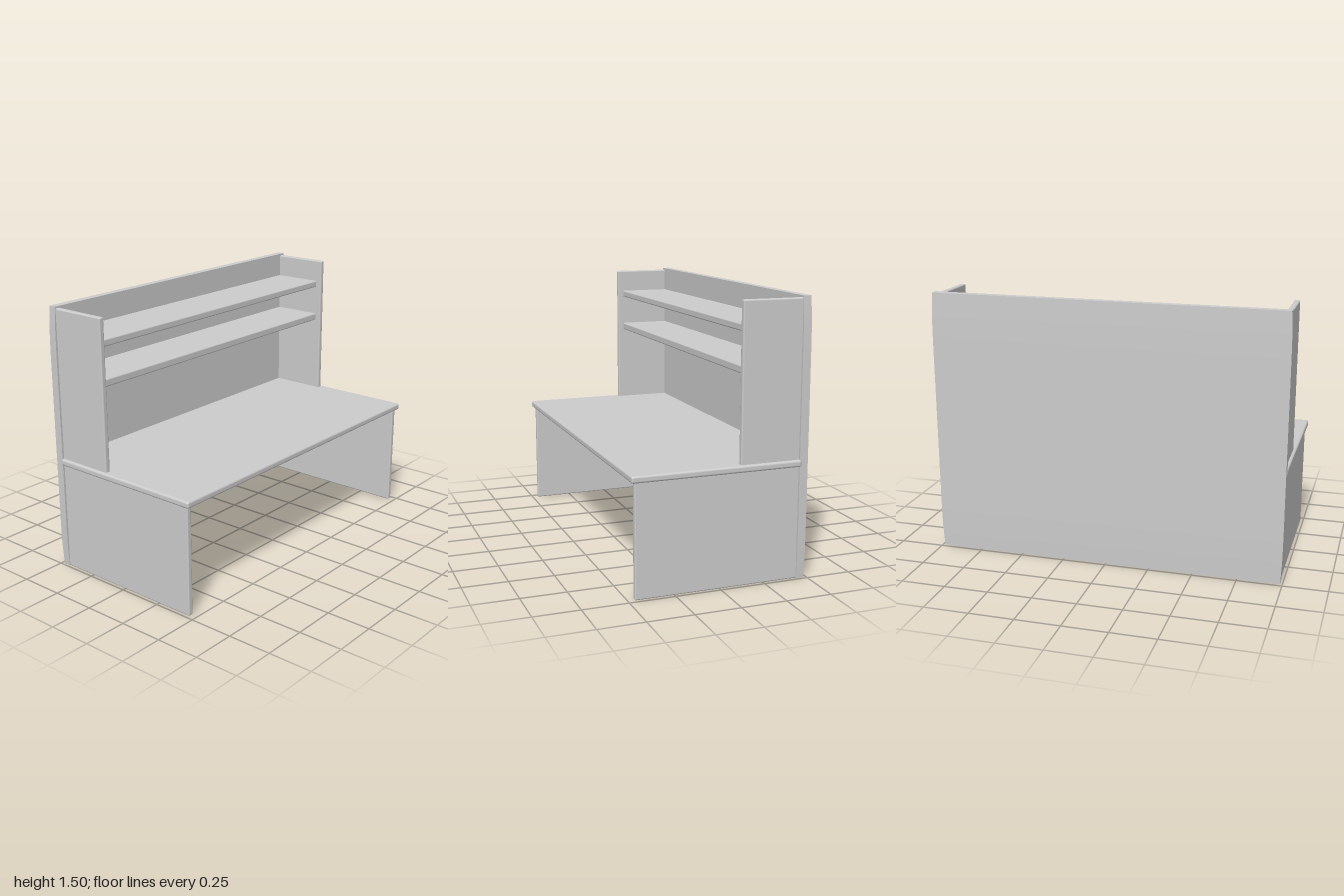
import * as THREE from 'three';
import { RoundedBoxGeometry } from 'three/addons/geometries/RoundedBoxGeometry.js';

const material = new THREE.MeshStandardMaterial({ color: 0xcccccc });

export function createModel() {
  const group = new THREE.Group();
  group.name = 'deskWithHutch';

  const add = (name, geometry, x, y, z) => {
    const mesh = new THREE.Mesh(geometry, material);
    mesh.name = name;
    mesh.position.set(x, y, z);
    group.add(mesh);
  };

  // Board with softened edges, given by its limits on each axis
  const board = (name, [x0, x1], [y0, y1], [z0, z1], radius) =>
    add(name, new RoundedBoxGeometry(x1 - x0, y1 - y0, z1 - z0, 2, radius),
      (x0 + x1) / 2, (y0 + y1) / 2, (z0 + z1) / 2);

  // Tall back panel: its end edges and rear edges swell slightly at mid height
  const back = new THREE.BoxGeometry(0.042, 1.5, 1.975, 1, 12, 1);
  const p = back.attributes.position;
  for (let i = 0; i < p.count; i++) {
    const swell = Math.min(1, (0.75 - Math.abs(p.getY(i))) / 0.15);
    p.setZ(i, p.getZ(i) + Math.sign(p.getZ(i)) * 0.008 * swell);
    if (p.getX(i) < 0) p.setX(i, p.getX(i) - 0.004 * swell);
  }
  back.computeVertexNormals();
  add('backPanel', back, -0.46, 0.75, 0);

  // Worktop with rounded edges
  board('worktop', [-0.45, 0.485], [0.612, 0.65], [-1, 1], 0.012);

  // Legs below and hutch sides above, mirrored at both ends
  for (const [side, s] of [['left', 1], ['right', -1]]) {
    const z = s > 0 ? [0.953, 0.984] : [-0.984, -0.953];
    board(side === 'left' ? 'frontLegPanel' : 'rearLegPanel', [-0.45, 0.465], [0, 0.625], z, 0.008);
    board(side === 'left' ? 'frontHutchSide' : 'rearHutchSide', [-0.45, -0.11], [0.635, 1.49], z, 0.008);
  }

  // Two shelves between the hutch sides
  board('lowerShelf', [-0.45, -0.145], [1.103, 1.146], [-0.96, 0.96], 0.008);
  board('upperShelf', [-0.45, -0.145], [1.32, 1.36], [-0.96, 0.96], 0.008);

  return group;
}
